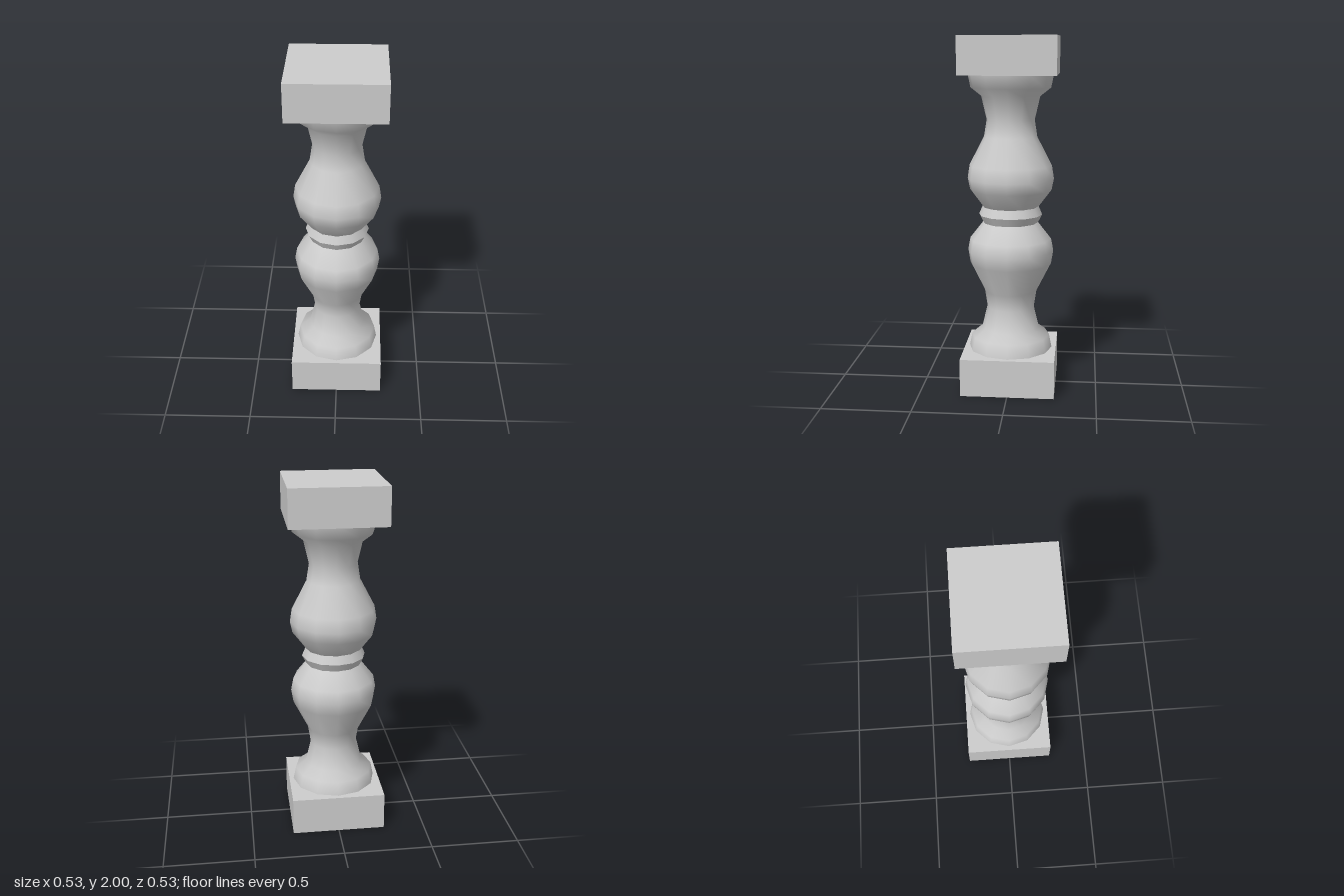
import * as THREE from 'three';

const SIDES = 12;

export function createModel() {
  const model = new THREE.Group();
  model.name = 'baluster';
  const stone = new THREE.MeshStandardMaterial({ color: 0xcccccc });
  stone.name = 'grey stone';

  const add = (name, geometry, y = 0) => {
    const mesh = new THREE.Mesh(geometry, stone);
    mesh.name = name;
    mesh.position.y = y;
    model.add(mesh);
  };
  // Profiles are [radius, height] pairs, listed from bottom to top
  const turned = (name, profile) =>
    add(name, new THREE.LatheGeometry(profile.map(([r, y]) => new THREE.Vector2(r, y)), SIDES));

  // Square blocks at both ends
  add('basePlinth', new THREE.BoxGeometry(0.53, 0.215, 0.53), 0.1075);
  add('topBlock', new THREE.BoxGeometry(0.53, 0.21, 0.53), 1.895);

  // Lower vase: flared foot, narrow neck, round belly
  turned('lowerVase', [
    [0.24, 0.215], [0.225, 0.29], [0.165, 0.335], [0.135, 0.46], [0.15, 0.555],
    [0.233, 0.72], [0.245, 0.795], [0.232, 0.863], [0.157, 0.958],
  ]);

  // Middle ring, two slopes meeting in a sharp edge
  turned('ringLower', [[0.157, 0.958], [0.18, 1.003]]);
  turned('ringUpper', [[0.18, 1.003], [0.16, 1.05]]);

  // Upper vase, mirrored in form
  turned('upperVase', [
    [0.16, 1.05], [0.232, 1.145], [0.245, 1.21], [0.233, 1.285], [0.15, 1.445],
    [0.135, 1.54], [0.165, 1.67], [0.225, 1.717], [0.24, 1.79],
  ]);

  return model;
}
